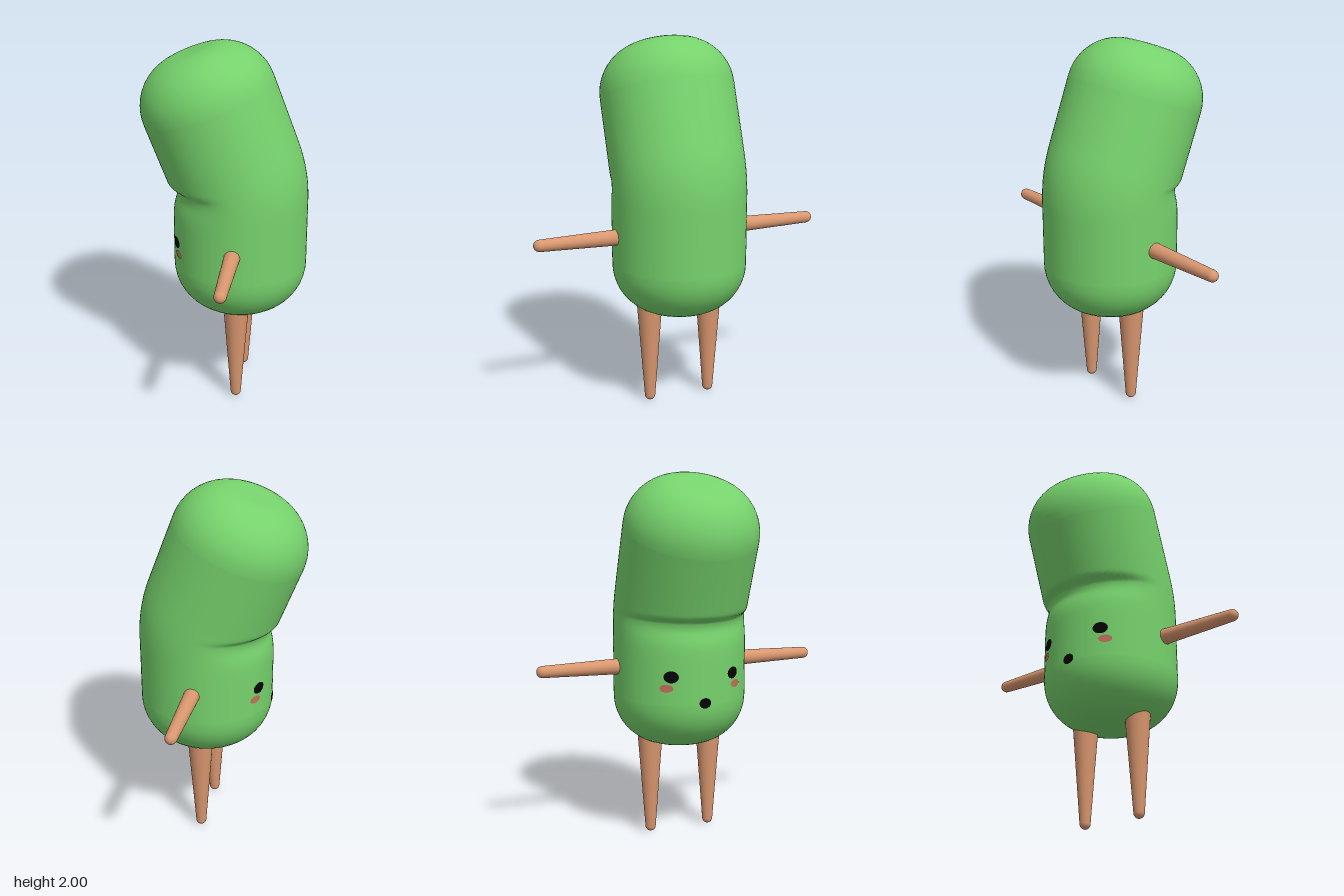
import * as THREE from 'three';

const CX = 0.08, R = 0.365, CORNER = 0.27, BASE = 0.515, LENGTH = 1.483, TILT = 0.366;

const green = new THREE.MeshStandardMaterial({ name: 'leaf green', color: 0x76d26c });
const skin = new THREE.MeshStandardMaterial({ name: 'warm tan', color: 0xd9976f });
const black = new THREE.MeshStandardMaterial({ name: 'black', color: 0x050505 });
const blush = new THREE.MeshStandardMaterial({ name: 'blush', color: 0xc0705a });

function add(parent, name, geometry, material) {
  const mesh = new THREE.Mesh(geometry, material);
  mesh.name = name;
  parent.add(mesh);
  return mesh;
}

// Round-ended body swept along an axis that leans towards -x above the middle
function bodyGeometry() {
  const profile = [[0, 0], [0, 0.05]];
  const flat = R - CORNER, steps = 12, sides = 72;
  for (let i = 0; i <= steps; i++) {
    const a = (i / steps) * Math.PI / 2;
    profile.push([CORNER * (1 - Math.cos(a)), flat + CORNER * Math.sin(a)]);
  }
  const rows = 90;
  for (let i = 1; i < rows; i++) profile.push([CORNER + (LENGTH - 2 * CORNER) * i / rows, R]);
  for (let i = steps; i >= 0; i--) {
    const a = (i / steps) * Math.PI / 2;
    profile.push([LENGTH - CORNER * (1 - Math.cos(a)), flat + CORNER * Math.sin(a)]);
  }
  profile.push([LENGTH, 0.05], [LENGTH, 0]);

  const tiltAt = s => TILT * THREE.MathUtils.smoothstep(s + BASE, 1.12, 1.37);
  const positions = [], index = [];
  let x = CX, y = BASE, last = 0;
  profile.forEach(([s, r], i) => {
    const mid = tiltAt((s + last) / 2), tilt = tiltAt(s);
    x -= Math.sin(mid) * (s - last);
    y += Math.cos(mid) * (s - last);
    last = s;
    for (let j = 0; j < sides; j++) {
      const a = (j / sides) * Math.PI * 2, c = Math.cos(a);
      let px = x + r * c * Math.cos(tilt);
      const py = y + r * c * Math.sin(tilt);
      // Fold on the inner side of the bend, with a sharp upper lip
      const d = py - (1.225 + 0.08 * (px + 0.3));
      const inner = THREE.MathUtils.smoothstep(-c, -0.2, 0.75);
      px += 0.032 * inner * Math.exp(-((d / (d > 0 ? 0.018 : 0.085)) ** 2));
      positions.push(px, py, r * Math.sin(a));
      if (i < profile.length - 1) {
        const p = i * sides + j, q = i * sides + (j + 1) % sides;
        index.push(p, p + sides, q, q, p + sides, q + sides);
      }
    }
  });
  const g = new THREE.BufferGeometry();
  g.setAttribute('position', new THREE.Float32BufferAttribute(positions, 3));
  g.setIndex(index);
  g.computeVertexNormals();
  return g;
}

// Tapered limb with a rounded tip at the origin, growing along +y
function limbGeometry(length, tip, root) {
  const points = [];
  for (let i = 0; i <= 6; i++) {
    const a = (i / 6) * Math.PI / 2;
    points.push(new THREE.Vector2(tip * Math.sin(a), tip * (1 - Math.cos(a))));
  }
  points.push(new THREE.Vector2(root, length));
  return new THREE.LatheGeometry(points, 28);
}

// Oval patch wrapped onto the cylindrical face; angle is measured from -x towards +z
function patchGeometry(angle, height, halfWidth, halfHeight, lift) {
  const g = new THREE.CircleGeometry(1, 28);
  const p = g.attributes.position, r = R + lift;
  for (let i = 0; i < p.count; i++) {
    const a = angle + p.getX(i) * halfWidth / R;
    p.setXYZ(i, CX - r * Math.cos(a), height + p.getY(i) * halfHeight, r * Math.sin(a));
  }
  g.computeVertexNormals();
  return g;
}

export function createModel() {
  const model = new THREE.Group();
  model.name = 'bean figure';
  add(model, 'body', bodyGeometry(), green);

  // Mirrored limbs and face details
  for (const side of [-1, 1]) {
    const label = side < 0 ? 'Back' : 'Front';
    const leg = add(model, 'leg' + label, limbGeometry(0.6, 0.029, 0.072), skin);
    leg.position.set(CX, 0, side * 0.175);
    const arm = add(model, 'arm' + label, limbGeometry(0.5, 0.032, 0.044), skin);
    arm.position.set(CX, 0.96, side * 0.812);
    arm.rotation.x = -side * Math.PI / 2;
    add(model, 'eye' + label, patchGeometry(side * 0.5, 0.945, 0.04, 0.032, 0.004), black);
    add(model, 'cheek' + label, patchGeometry(side * 0.57, 0.883, 0.037, 0.021, 0.003), blush);
  }
  add(model, 'mouth', patchGeometry(0, 0.8, 0.033, 0.028, 0.003), black);
  return model;
}
